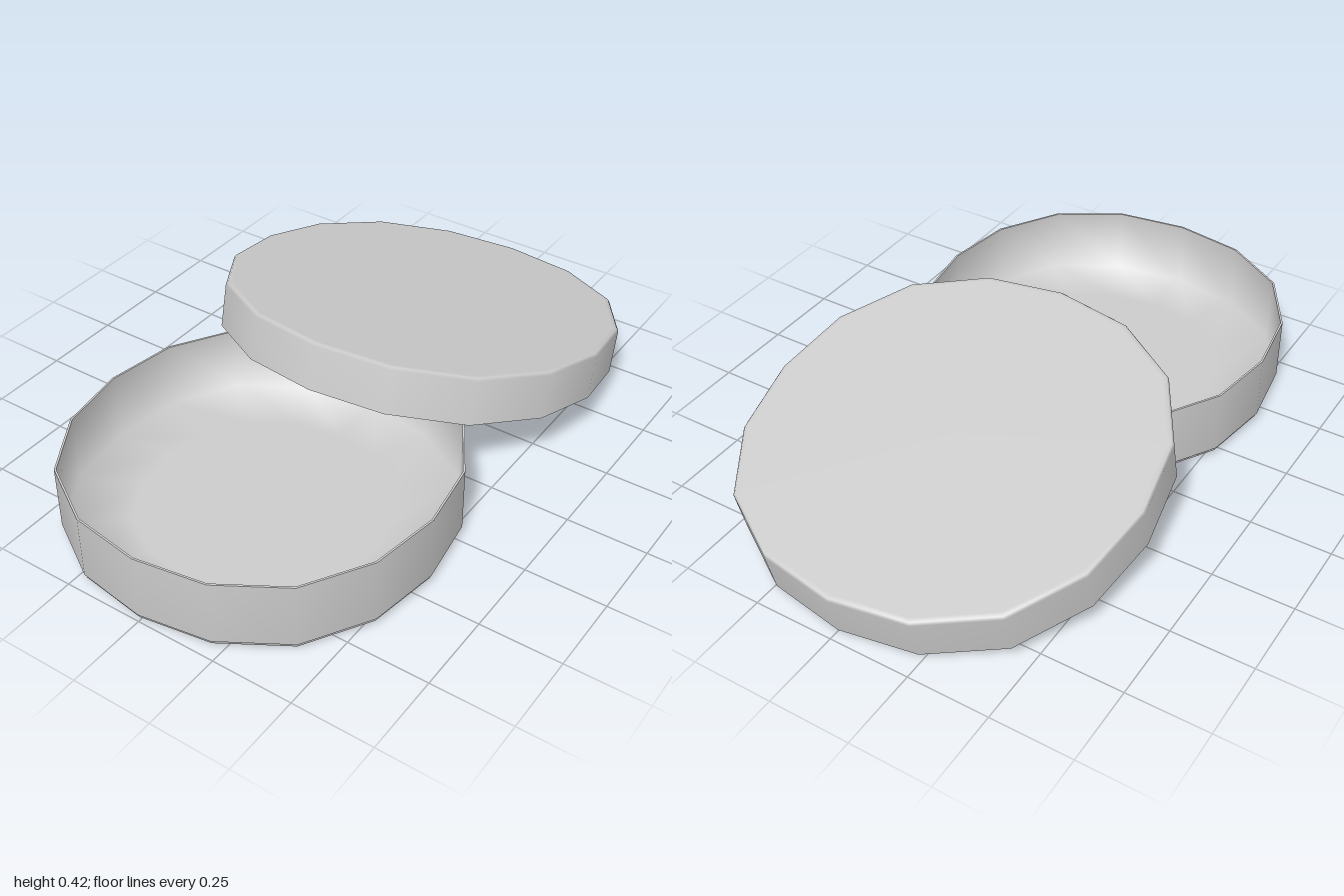
import * as THREE from 'three';

const SIDES = 16;

// Closed shallow cup: convex underside, small corner bevel, wall, thin rim, inside wall and floor.
// bevel = [width, height] of the outer corner, dip = how far the underside bulges down,
// floor = thickness of the bottom, flat = radius of the flat middle.
function cupGeometry({ radius, height, wall, floor, bevel, dip, flat }) {
  const inner = radius - wall;
  const outside = [[0, 0], [flat, 0], [radius - bevel[0], dip], [radius, dip + bevel[1]], [radius, height]];
  const rim = [[radius, height], [inner, height]];
  const inside = [[inner, height], [inner, floor], [flat, floor], [0, floor]];
  // Repeated points where the runs meet keep the rim edges sharp.
  const points = [...outside, ...rim, ...inside].map(([x, y]) => new THREE.Vector2(x, y));
  const geometry = new THREE.LatheGeometry(points, SIDES);

  // Push the diagonals out a little, so the outline is a slightly squared circle.
  const position = geometry.attributes.position;
  for (let i = 0; i < position.count; i++) {
    const x = position.getX(i), z = position.getZ(i);
    const bulge = 1 + 0.035 * Math.sin(2 * Math.atan2(z, x)) ** 2;
    position.setX(i, x * bulge);
    position.setZ(i, z * bulge);
  }
  return geometry;
}

export function createModel() {
  const model = new THREE.Group();
  model.name = 'dishWithLid';
  const material = new THREE.MeshStandardMaterial({ color: 0xcccccc });

  // Open dish standing at the front
  const dish = new THREE.Mesh(cupGeometry({
    radius: 0.5625, height: 0.226, wall: 0.006, floor: 0.012, bevel: [0.016, 0.017], dip: 0.007, flat: 0.37,
  }), material);
  dish.name = 'dish';
  dish.position.z = 0.4375;
  model.add(dish);

  // Lid, turned upside down and leaning from the dish rim to the ground behind
  const lid = new THREE.Group();
  lid.name = 'lid';
  const shell = new THREE.Mesh(cupGeometry({
    radius: 0.609, height: 0.147, wall: 0.006, floor: 0.022, bevel: [0.006, 0.008], dip: 0.001, flat: 0.59,
  }), material);
  shell.name = 'lidShell';
  shell.rotation.z = Math.PI;
  lid.add(shell);
  lid.position.set(0, 0.287, -0.4075);
  lid.rotation.x = -THREE.MathUtils.degToRad(13.3);
  model.add(lid);

  return model;
}
